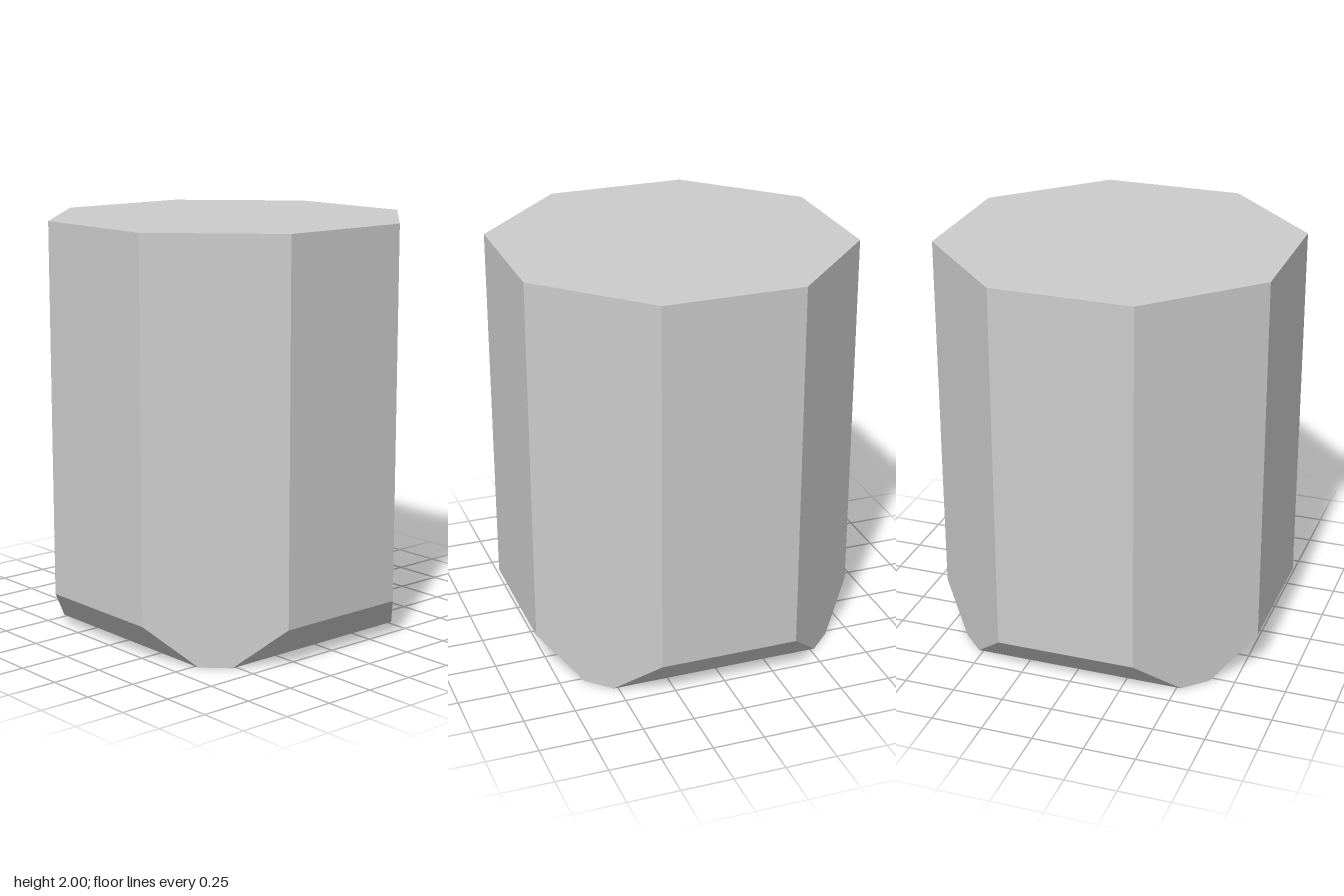
import * as THREE from 'three';

// Octagon with flats at +-half on x and z; corner is half the flat's length
function octagon(y, half, corner) {
  return [
    [half, corner], [half, -corner], [corner, -half], [-corner, -half],
    [-half, -corner], [-half, corner], [-corner, half], [corner, half],
  ].map(([x, z]) => new THREE.Vector3(x, y, z));
}

// Joins rings from bottom to top and closes both ends, with flat faces
function loft(rings) {
  const points = [];
  const n = rings[0].length;
  for (let r = 0; r < rings.length - 1; r++) {
    const low = rings[r], high = rings[r + 1];
    for (let i = 0; i < n; i++) {
      const j = (i + 1) % n;
      points.push(low[i], low[j], high[j], low[i], high[j], high[i]);
    }
  }
  const bottom = rings[0], top = rings[rings.length - 1];
  for (let i = 1; i < n - 1; i++) {
    points.push(top[0], top[i], top[i + 1], bottom[0], bottom[i + 1], bottom[i]);
  }
  const geometry = new THREE.BufferGeometry().setFromPoints(points);
  geometry.computeVertexNormals();
  return geometry;
}

export function createModel() {
  const group = new THREE.Group();
  group.name = 'octagonalBlock';

  // Upright column; the four axis-facing sides are chamfered at the foot,
  // while the diagonal sides run straight down to the base
  const half = 0.815, corner = 0.34, chamfer = 0.182;
  const column = new THREE.Mesh(
    loft([
      octagon(0, half - chamfer, corner + chamfer),
      octagon(0.188, half, corner),
      octagon(2, half, corner),
    ]),
    new THREE.MeshStandardMaterial({ color: 0xcccccc, flatShading: true }),
  );
  column.name = 'chamferedColumn';
  group.add(column);
  return group;
}
